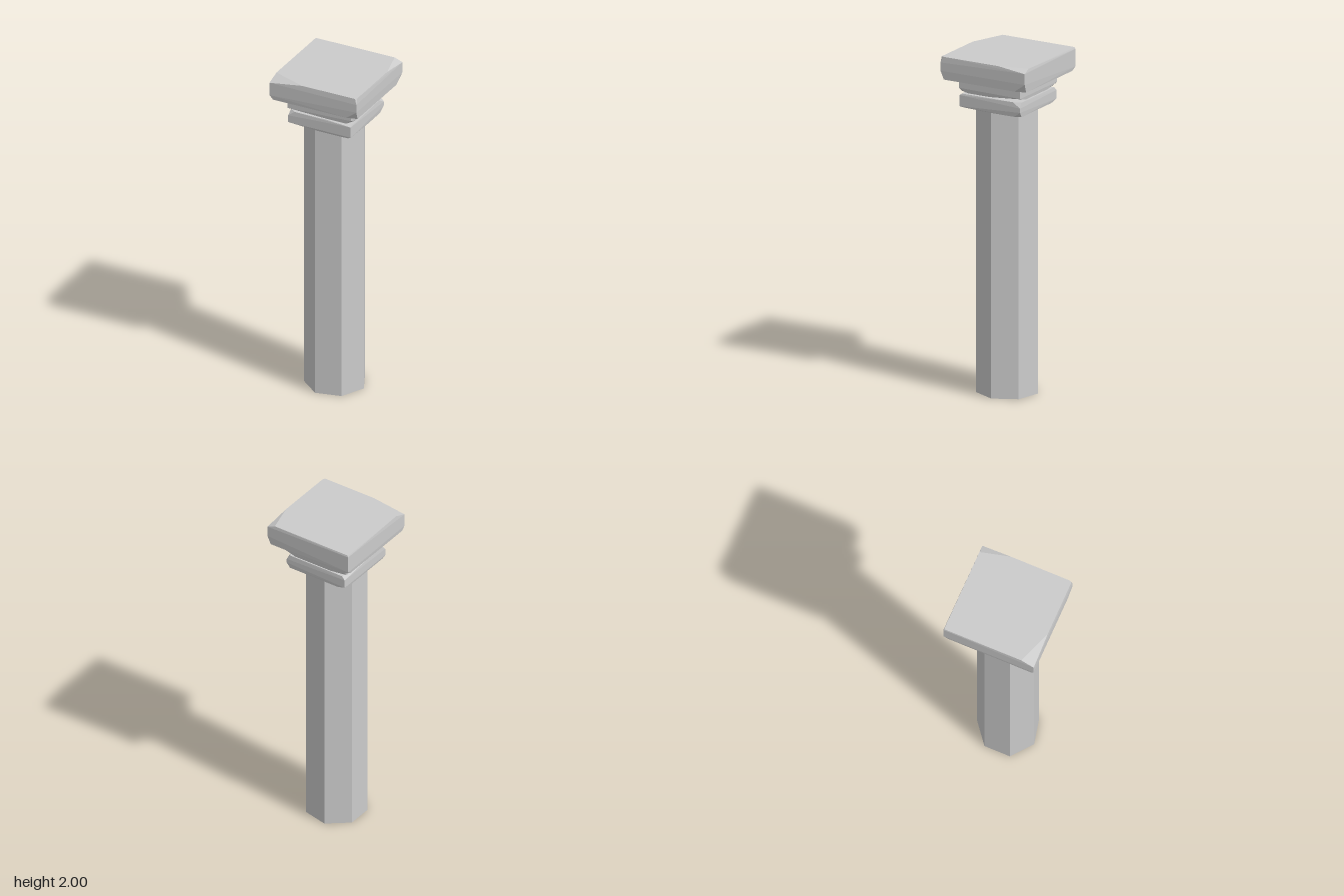
import * as THREE from 'three';
import { ConvexGeometry } from 'three/addons/geometries/ConvexGeometry.js';

const stone = new THREE.MeshStandardMaterial({ color: 0xcccccc, flatShading: true, side: THREE.DoubleSide });

// Square slab of roughly hewn stone. Each chip cuts one corner, keyed by its
// x, y, z signs, by the given length along each edge.
function chippedSlab(name, half, y0, y1, chips) {
  const points = [];
  for (const sx of [-1, 1]) for (const sy of [-1, 1]) for (const sz of [-1, 1]) {
    const key = [sx, sy, sz].map(s => (s > 0 ? '+' : '-')).join('');
    const corner = new THREE.Vector3(sx * half, sy > 0 ? y1 : y0, sz * half);
    const [dx, dy, dz] = chips[key] || [0.006, 0.006, 0.006];
    points.push(
      corner.clone().add(new THREE.Vector3(-sx * dx, 0, -sz * 0.003)),
      corner.clone().add(new THREE.Vector3(0, -sy * dy, 0)),
      corner.clone().add(new THREE.Vector3(-sx * 0.003, 0, -sz * dz))
    );
  }
  const mesh = new THREE.Mesh(new ConvexGeometry(points), stone);
  mesh.name = name;
  return mesh;
}

export function createModel() {
  const group = new THREE.Group();
  group.name = 'column';

  // Seven-sided hollow shaft with one edge facing +x
  const shaft = new THREE.Mesh(
    new THREE.CylinderGeometry(0.18, 0.18, 1.7, 7, 1, true, Math.PI / 2), stone);
  shaft.position.set(0, 0.85, 0.003);
  shaft.name = 'shaft';
  group.add(shaft);

  // Capital: two narrow slabs under a broad one
  group.add(chippedSlab('lowerSlab', 0.2, 1.69, 1.775, {
    '--+': [0.18, 0.012, 0.02],
    '+-+': [0.02, 0.01, 0.2],
    '+--': [0.02, 0.03, 0.04],
    '---': [0.05, 0.015, 0.03],
    '-++': [0.04, 0.03, 0.03],
    '+++': [0.15, 0.01, 0.02],
    '++-': [0.02, 0.03, 0.05],
    '-+-': [0.02, 0.02, 0.25],
  }));
  group.add(chippedSlab('middleSlab', 0.202, 1.783, 1.87, {
    '--+': [0.25, 0.01, 0.03],
    '+-+': [0.03, 0.025, 0.06],
    '+--': [0.06, 0.02, 0.2],
    '---': [0.1, 0.02, 0.02],
    '+++': [0.03, 0.02, 0.03],
    '++-': [0.03, 0.02, 0.03],
    '-+-': [0.03, 0.02, 0.15],
  }));
  group.add(chippedSlab('topSlab', 0.278, 1.866, 2, {
    '-++': [0.208, 0.03, 0.078],
    '++-': [0.048, 0.02, 0.178],
    '+++': [0.01, 0.035, 0.018],
    '-+-': [0.006, 0.01, 0.006],
    '--+': [0.02, 0.025, 0.02],
    '+-+': [0.065, 0.05, 0.02],
    '+--': [0.02, 0.05, 0.07],
    '---': [0.03, 0.02, 0.03],
  }));
  return group;
}
